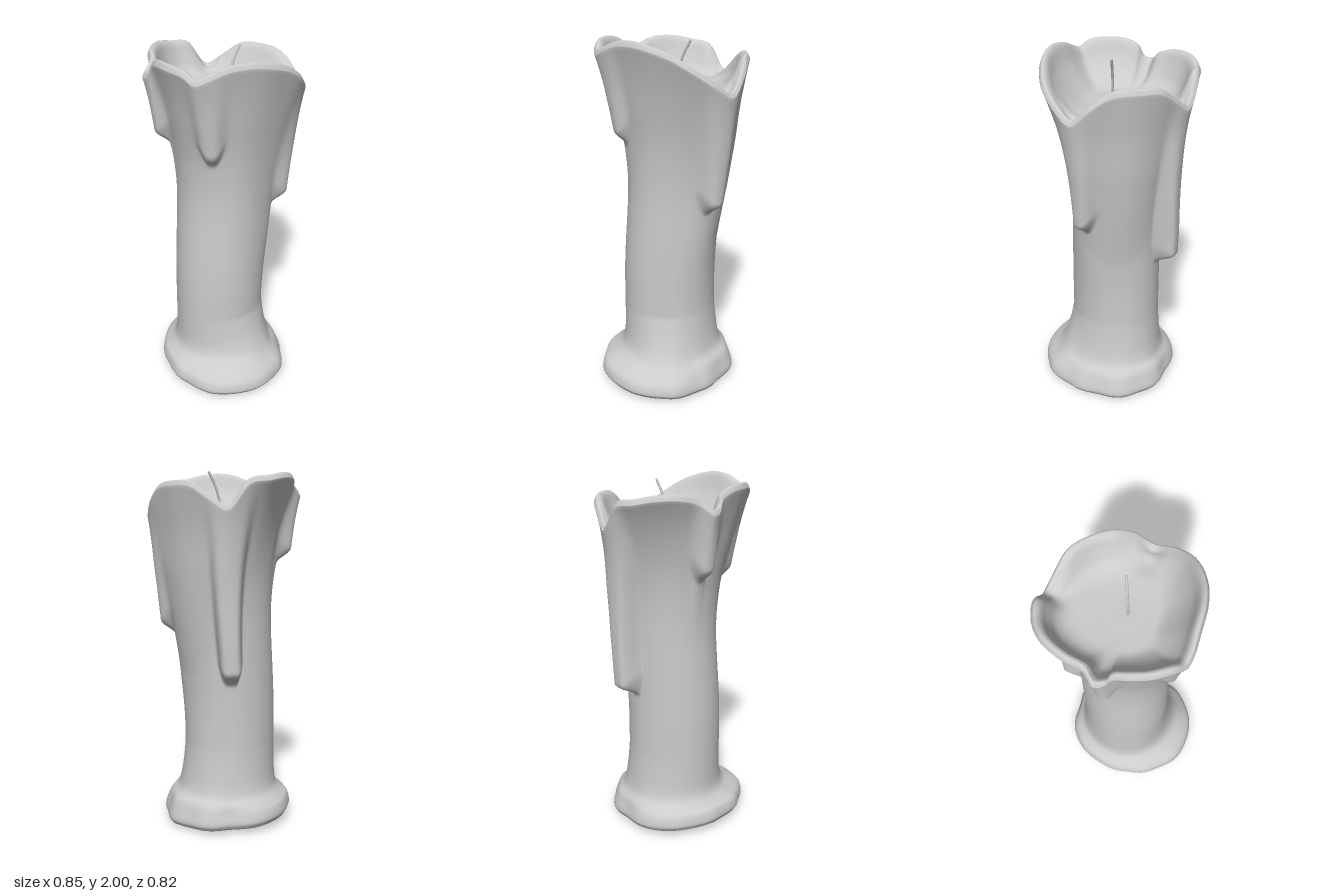
import * as THREE from 'three';

const RIM_STEPS = 200;
const { degToRad: rad, smoothstep, lerp, clamp } = THREE.MathUtils;

// Wavy upper edge, running from +x round through +z
const RIM = [
  [0.40, 1.95, 0.0], [0.365, 1.985, 0.11], [0.31, 2.0, 0.2], [0.235, 1.99, 0.285], [0.165, 1.955, 0.36],
  [0.115, 1.935, 0.395], [0.05, 1.97, 0.405], [-0.06, 1.98, 0.39], [-0.15, 1.975, 0.35], [-0.215, 1.945, 0.305],
  [-0.25, 1.885, 0.295], [-0.295, 1.875, 0.275], [-0.31, 1.92, 0.205], [-0.375, 1.95, 0.125], [-0.425, 1.95, 0.0],
  [-0.42, 1.93, -0.11], [-0.375, 1.91, -0.21], [-0.30, 1.78, -0.295], [-0.22, 1.83, -0.345], [-0.12, 1.9, -0.395],
  [0.0, 1.91, -0.41], [0.13, 1.9, -0.395], [0.23, 1.84, -0.37], [0.315, 1.755, -0.315], [0.375, 1.81, -0.23],
  [0.41, 1.89, -0.11],
];

// Foot radius every 30 degrees from +x through +z
const FOOT = [0.425, 0.445, 0.445, 0.405, 0.37, 0.355, 0.36, 0.345, 0.345, 0.37, 0.355, 0.375];

// Wax runs: angle, height of the tip, thickness, half width in radians, bluntness
const DRIPS = [
  [-41, 1.1, 0.085, 0.17, 3], [222, 0.85, 0.115, 0.2, 5], [66, 1.46, 0.08, 0.15, 3], [135, 1.51, 0.12, 0.15, 3],
];

// 1 at the given direction, falling to 0 away from it
function toward(a, deg, spread, power = 2) {
  const b = rad(deg), gap = Math.atan2(Math.sin(a - b), Math.cos(a - b));
  return Math.exp(-(Math.abs(gap / spread) ** power));
}

function footRadius(a) {
  const p = ((a / (Math.PI / 6)) % 12 + 12) % 12, i = Math.floor(p);
  const base = lerp(FOOT[i], FOOT[(i + 1) % 12], smoothstep(p - i, 0, 1));
  // ripples on the back of the foot
  return base + 0.013 * toward(a, 250, 0.9) * Math.cos(8 * (a - rad(243)));
}

// Radius of the outside wall, with flare and drips
function wallRadius(a, y, rimR, rimY) {
  // the back flares low and evenly, the left lobe late and sharply
  const back = toward(a, -78, 0.85);
  const start = 1.05 - 0.2 * back;
  const power = 2.2 - 0.95 * back + 0.8 * toward(a, 170, 0.6);
  const t = clamp((y - start) / (rimY - start), 0, 1);
  let shaft = lerp(0.256, 0.243, y / 1.5) + 0.01 * Math.sin(a) ** 2;
  shaft += 0.03 * toward(a, -42, 0.5) * smoothstep(y, 0.45, 1.05) + 0.012 * toward(a, 235, 0.7);
  let r = shaft + (rimR - shaft) * t ** power;
  for (const [deg, tip, thick, width, blunt] of DRIPS) {
    const across = toward(a, deg, width * (1 + 0.5 * t), blunt);
    // the rounded tip climbs toward the sides of the run
    const end = tip + 0.1 * (1 - across);
    r += thick * across * smoothstep(y, end - 0.03, end + 0.05) * (1 - t ** 1.6);
  }
  return r;
}

// Half section at one angle: underside, foot, wall, lip, pool
function section(a, rimR, rimY) {
  const f = footRadius(a), low = 0.032 - 0.012 * Math.cos(a) + 0.014 * Math.sin(a);
  const wall = (y) => wallRadius(a, y, rimR, rimY - 0.03);
  const w = wall(0.45), skirt = 0.2 * toward(a, 5, 0.7);
  const curve = (list) => new THREE.SplineCurve(list.map(([r, y]) => new THREE.Vector2(r, y)));
  const foot = curve([
    [0, 0.005], [f * 0.5, low * 0.45], [f * 0.9, low * 0.8], [f * 0.985, low + 0.015], [f, low + 0.04],
    [f * 0.965, low + 0.085], [lerp(w, f, 0.66), 0.155], [lerp(w, f, 0.29 + skirt), 0.195],
    [lerp(w, f, 0.13 + skirt), 0.25], [lerp(w, f, 0.05 + skirt * 0.5), 0.34], [w, 0.45],
  ]).getPoints(40);
  const body = [];
  for (let j = 1; j <= 90; j++) {
    const y = lerp(0.45, rimY - 0.03, j / 90);
    body.push(new THREE.Vector2(wall(y), y));
  }
  // the pool has a steep wall behind and on the left, a gentle slope elsewhere
  const floor = 1.735, steep = 0.5 + 0.5 * Math.cos(a - rad(225));
  const top = curve([
    [rimR, rimY - 0.03], [rimR * 0.96, rimY], [rimR * 0.89, rimY - 0.015],
    [rimR * lerp(0.8, 0.83, steep), lerp(floor, rimY, lerp(0.62, 0.6, steep))],
    [rimR * lerp(0.65, 0.75, steep), lerp(floor, rimY, lerp(0.3, 0.25, steep))],
    [rimR * lerp(0.46, 0.6, steep), floor + 0.01], [rimR * 0.3, floor], [0, floor],
  ]).getPoints(42).slice(1);
  return [...foot, ...body, ...top];
}

function waxGeometry() {
  const rim = new THREE.CatmullRomCurve3(RIM.map((p) => new THREE.Vector3(...p)), true);
  const rimPts = rim.getSpacedPoints(RIM_STEPS).slice(0, RIM_STEPS);
  const pos = [], index = [];
  let rows = 0;
  for (const p of rimPts) {
    const a = Math.atan2(p.z, p.x);
    const profile = section(a, Math.hypot(p.x, p.z), p.y);
    rows = profile.length;
    for (const { x: r, y } of profile) {
      // the shaft bows forward low down and back higher up
      const lean = 0.018 * smoothstep(y, 0.12, 0.5) - 0.03 * smoothstep(y, 0.6, 1.3) + 0.012 * smoothstep(y, 1.4, 1.7);
      pos.push(r * Math.cos(a), y, r * Math.sin(a) + lean);
    }
  }
  for (let i = 0; i < RIM_STEPS; i++) {
    const n = (i + 1) % RIM_STEPS;
    for (let j = 0; j < rows - 1; j++) {
      const p = i * rows + j, q = n * rows + j;
      index.push(p, p + 1, q, p + 1, q + 1, q);
    }
  }
  const g = new THREE.BufferGeometry();
  g.setAttribute('position', new THREE.Float32BufferAttribute(pos, 3));
  g.setIndex(index);
  g.computeVertexNormals();
  return g;
}

export function createModel() {
  const group = new THREE.Group();
  group.name = 'meltedCandle';
  const material = new THREE.MeshStandardMaterial({ color: 0xcccccc });

  const wax = new THREE.Mesh(waxGeometry(), material);
  wax.name = 'waxBody';
  group.add(wax);

  // Curved wick rising from the pool
  const path = new THREE.CatmullRomCurve3([
    [0.025, 1.71, -0.025], [0.027, 1.79, -0.03], [0.035, 1.89, -0.055], [0.05, 1.975, -0.095],
  ].map((p) => new THREE.Vector3(...p)));
  const wick = new THREE.Mesh(new THREE.TubeGeometry(path, 16, 0.007, 8), material);
  wick.name = 'wick';
  group.add(wick);
  const tip = new THREE.Mesh(new THREE.SphereGeometry(0.007, 8, 6), material);
  tip.name = 'wickTip';
  tip.position.copy(path.getPoint(1));
  group.add(tip);

  return group;
}
